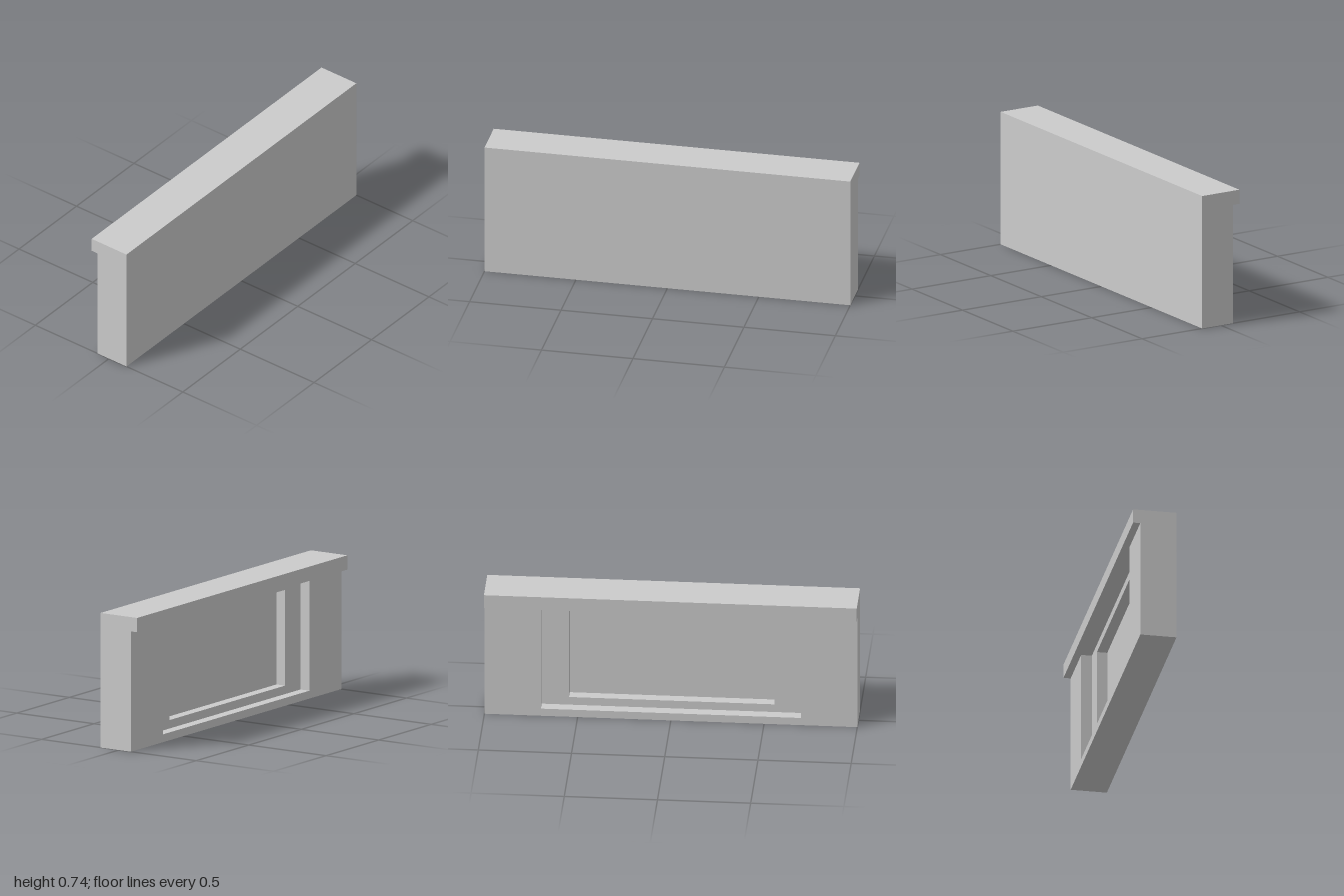
import * as THREE from 'three';

const H = 0.735, LEDGE_Y = 0.657;            // overall height, underside of ledge
const FRONT = 0.118, BACK = -0.079;          // wall faces
const STEP1 = -0.021, STEP2 = 0.035;         // depths of the two recess steps

const material = new THREE.MeshStandardMaterial({ color: 0xcccccc });

function polygon(points, Type = THREE.Shape) {
  return new Type(points.map(([x, y]) => new THREE.Vector2(x, y)));
}

function rect(x, y0, y1) {
  return [[-x, y0], [x, y0], [x, y1], [-x, y1]];
}

// Layer of wall between two depths
function layer(name, shape, z0, z1) {
  const geometry = new THREE.ExtrudeGeometry(shape, { depth: z1 - z0, bevelEnabled: false });
  geometry.translate(0, 0, z0);
  const mesh = new THREE.Mesh(geometry, material);
  mesh.name = name;
  return mesh;
}

export function createModel() {
  const group = new THREE.Group();
  group.name = 'panelledWall';

  // Solid front slab
  group.add(layer('frontPanel', polygon(rect(1, 0, LEDGE_Y)), STEP2, FRONT));

  // Middle frame around the inner recess
  const inner = polygon(rect(1, 0, LEDGE_Y));
  inner.holes.push(polygon(rect(0.551, 0.089, 0.612), THREE.Path));
  group.add(layer('innerFrame', inner, STEP1, STEP2));

  // Rear U-shaped frame, its recess running up to the ledge
  const outer = polygon([
    [-1, 0], [1, 0], [1, LEDGE_Y], [0.697, LEDGE_Y], [0.697, 0.043],
    [-0.697, 0.043], [-0.697, LEDGE_Y], [-1, LEDGE_Y],
  ]);
  group.add(layer('outerFrame', outer, BACK, STEP1));

  // Top ledge overhanging the back
  group.add(layer('topLedge', polygon(rect(1, LEDGE_Y, H)), -0.118, FRONT));

  return group;
}
